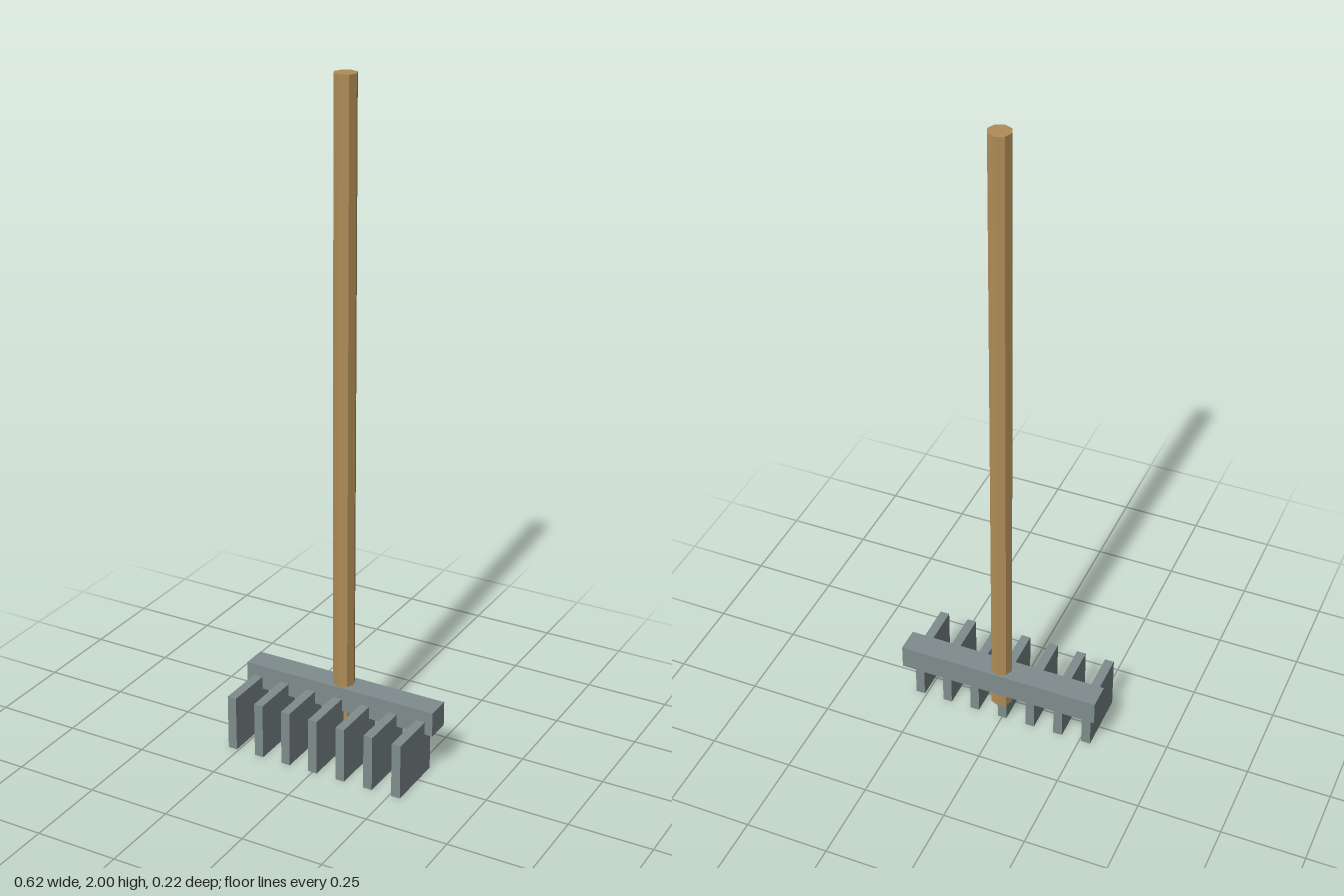
import * as THREE from 'three';

export function createModel() {
  const rake = new THREE.Group();
  rake.name = 'rake';

  const wood = new THREE.MeshStandardMaterial({ color: 0xb08d57, flatShading: true });
  wood.name = 'wood';
  const metal = new THREE.MeshStandardMaterial({ color: 0x7f8c8d, flatShading: true });
  metal.name = 'grey metal';

  const add = (name, geometry, material, x, y, z) => {
    const mesh = new THREE.Mesh(geometry, material);
    mesh.name = name;
    mesh.position.set(x, y, z);
    rake.add(mesh);
  };

  // Eight-sided pole, poking out below the head
  const poleBottom = 0.08, poleTop = 2;
  const poleLength = poleTop - poleBottom;
  add('handle', new THREE.CylinderGeometry(0.033, 0.033, poleLength, 8), wood,
    0, poleBottom + poleLength / 2, -0.075);

  // Crossbar
  add('headBar', new THREE.BoxGeometry(0.616, 0.075, 0.075), metal, 0, 0.168, -0.075);

  // Seven flat tines reaching forward from the middle of the bar
  const tine = new THREE.BoxGeometry(0.028, 0.17, 0.187);
  for (let i = -3; i <= 3; i++) {
    add('tine', tine, metal, i * 0.09, 0.085, 0.0185);
  }

  return rake;
}
